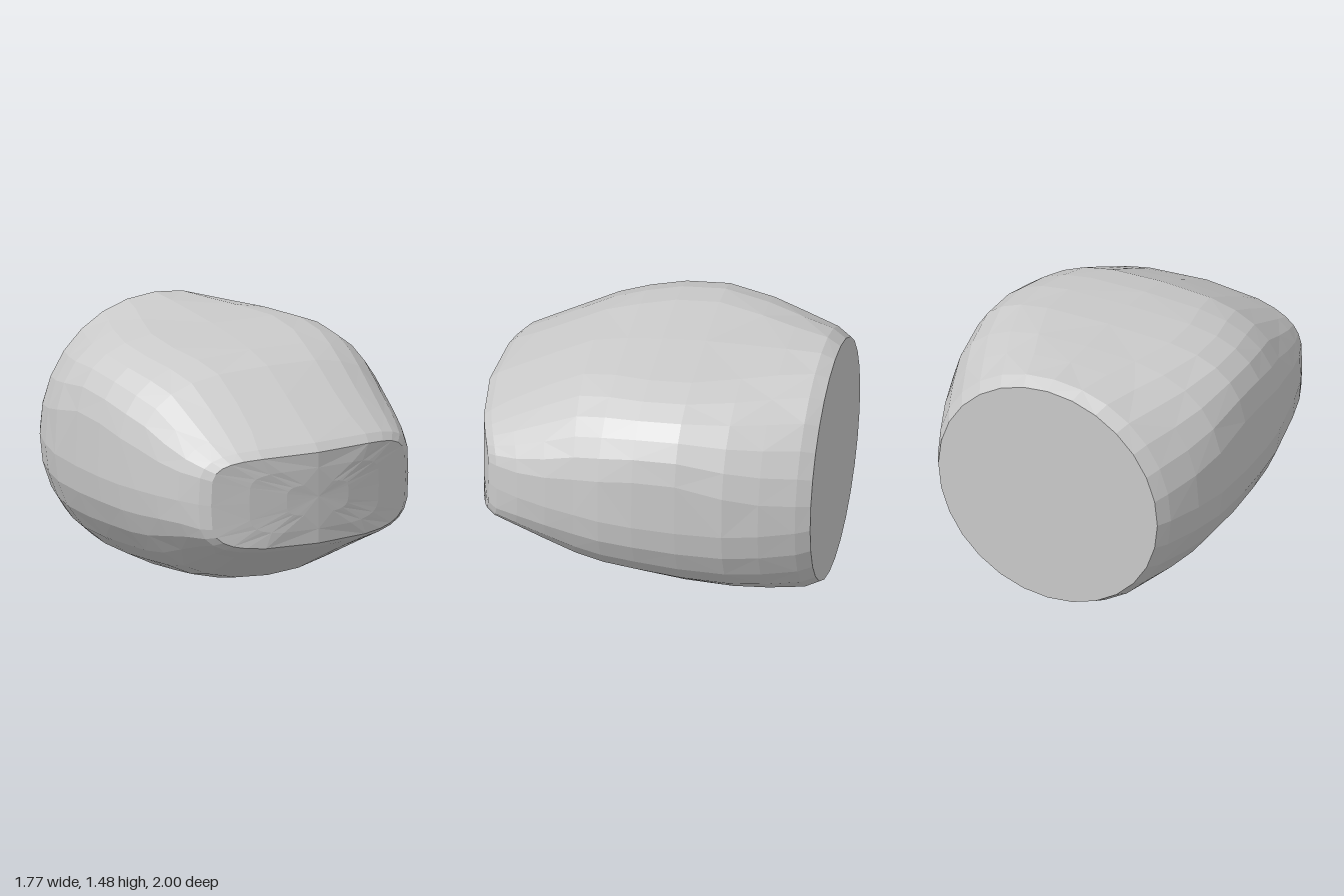
import * as THREE from 'three';

const SIDES = 28;

// Cross-sections from back to front:
// [z, half width, bottom, middle, top, top squareness, bottom squareness]
const SECTIONS = [
  [-1.0, 0.70, 0.04, 0.74, 1.44, 2.0, 2.0],
  [-0.92, 0.745, 0.003, 0.74, 1.475, 2.1, 2.0],
  [-0.72, 0.82, 0.0, 0.74, 1.475, 2.4, 2.0],
  [-0.52, 0.87, 0.005, 0.74, 1.47, 2.9, 2.0],
  [-0.25, 0.885, 0.02, 0.74, 1.46, 3.7, 2.0],
  [0.0, 0.88, 0.05, 0.74, 1.44, 3.7, 2.0],
  [0.2, 0.86, 0.08, 0.74, 1.415, 3.3, 2.05],
  [0.4, 0.825, 0.135, 0.74, 1.37, 3.1, 2.15],
  [0.62, 0.79, 0.255, 0.745, 1.25, 3.2, 2.4],
  [0.82, 0.74, 0.365, 0.75, 1.135, 3.6, 2.9],
  [0.955, 0.68, 0.44, 0.75, 1.055, 4.5, 4.0],
  [1.0, 0.63, 0.475, 0.75, 1.01, 5.0, 4.5],
  [1.0, 0.42, 0.56, 0.75, 0.92, 5.0, 4.5],
  [1.0, 0.2, 0.65, 0.75, 0.83, 4.0, 4.0],
];

// Rounded-square curve point for one section
function sectionPoint([z, w, bottom, mid, top, nTop, nBottom], angle) {
  const c = Math.cos(angle), s = Math.sin(angle);
  const n = s >= 0 ? nTop : nBottom;
  const x = w * Math.sign(c) * Math.abs(c) ** (2 / n);
  const h = s >= 0 ? top - mid : bottom - mid;
  const y = mid + h * Math.abs(s) ** (2 / n);
  // the nose wraps backwards towards its sides
  const bend = THREE.MathUtils.clamp((z - 0.2) / 0.8, 0, 1);
  return [x, y, z - bend * 0.13 * (x / 0.65) ** 2];
}

function loftGeometry() {
  const positions = [], index = [];
  for (const section of SECTIONS) {
    for (let i = 0; i < SIDES; i++) {
      positions.push(...sectionPoint(section, (i / SIDES) * Math.PI * 2));
    }
  }
  for (let r = 0; r < SECTIONS.length - 1; r++) {
    for (let i = 0; i < SIDES; i++) {
      const j = (i + 1) % SIDES;
      const a = r * SIDES + i, b = r * SIDES + j;
      const c = a + SIDES, d = b + SIDES;
      // alternate the diagonals for a chipped, faceted skin
      if ((r + i) % 2) index.push(a, b, d, a, d, c);
      else index.push(a, b, c, b, d, c);
    }
  }
  // close the nose with a fan
  const last = (SECTIONS.length - 1) * SIDES;
  const centre = positions.length / 3;
  positions.push(0, 0.75, 1);
  for (let i = 0; i < SIDES; i++) index.push(centre, last + i, last + ((i + 1) % SIDES));

  const geometry = new THREE.BufferGeometry();
  geometry.setAttribute('position', new THREE.Float32BufferAttribute(positions, 3));
  geometry.setIndex(index);
  geometry.computeVertexNormals();
  return geometry;
}

export function createModel() {
  const group = new THREE.Group();
  group.name = 'facetedBlock';
  const material = new THREE.MeshStandardMaterial({ color: 0xcccccc, flatShading: true });

  // Faceted body with the blunt nose
  const body = new THREE.Mesh(loftGeometry(), material);
  body.name = 'body';
  group.add(body);

  // Flat round cut at the back
  const backCap = new THREE.Mesh(new THREE.CircleGeometry(0.7, SIDES), material);
  backCap.name = 'backCap';
  backCap.rotation.y = Math.PI;
  backCap.position.set(0, 0.74, -1);
  group.add(backCap);

  return group;
}
